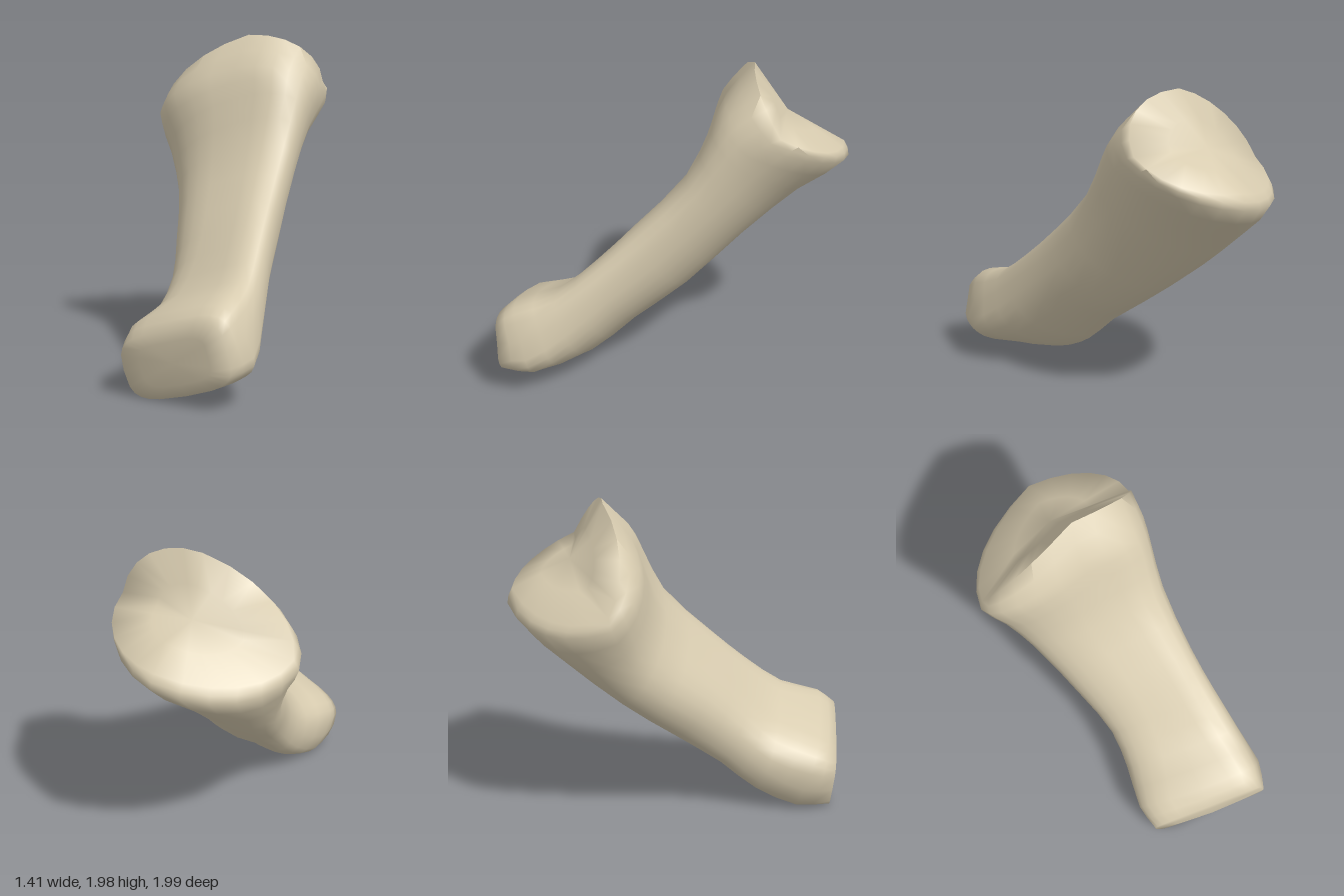
import * as THREE from 'three';
import { toCreasedNormals } from 'three/addons/utils/BufferGeometryUtils.js';

const SIDES = 24; // points around the bone
const STEPS = 2;  // subdivisions between sections

// Cross-sections from the wide base to the head: right, top, left, bottom extremes
// and a roundness power (1 = oval, 0.5 = boxy)
const SECTIONS = [
  { r: [0.31, 1.69, -0.66], t: [-0.1, 1.98, -0.44], l: [-0.68, 1.48, -0.36], b: [-0.2, 1.49, -0.97], p: 0.97 },
  { r: [0.335, 1.64, -0.55], t: [-0.1, 1.78, -0.28], l: [-0.7, 1.41, -0.34], b: [-0.2, 1.4, -1.0], p: 0.94 },
  { r: [0.34, 1.5, -0.42], t: [-0.05, 1.6, -0.21], l: [-0.58, 1.22, -0.28], b: [-0.2, 1.17, -0.73], p: 0.9 },
  { r: [0.365, 1.25, -0.22], t: [0.0, 1.29, -0.08], l: [-0.45, 0.98, -0.18], b: [-0.08, 0.87, -0.39], p: 0.88 },
  { r: [0.445, 0.93, 0.1], t: [0.13, 0.99, 0.2], l: [-0.255, 0.7, 0.12], b: [0.08, 0.58, -0.08], p: 0.85 },
  { r: [0.53, 0.73, 0.34], t: [0.2, 0.77, 0.41], l: [-0.13, 0.48, 0.34], b: [0.2, 0.36, 0.22], p: 0.8 },
  { r: [0.62, 0.53, 0.58], t: [0.25, 0.59, 0.62], l: [-0.095, 0.29, 0.54], b: [0.31, 0.16, 0.47], p: 0.7 },
  { r: [0.68, 0.4, 0.8], t: [0.27, 0.52, 0.88], l: [-0.09, 0.17, 0.77], b: [0.39, 0.08, 0.74], p: 0.52 },
  { r: [0.66, 0.36, 0.96], t: [0.29, 0.43, 0.98], l: [-0.04, 0.15, 0.95], b: [0.38, 0.065, 0.94], p: 0.52 },
];

// One closed ring through four extremes
function makeRing(r, t, l, b, p) {
  const c = new THREE.Vector3().add(r).add(t).add(l).add(b).multiplyScalar(0.25);
  return Array.from({ length: SIDES }, (_, j) => {
    const a = (j / SIDES) * Math.PI * 2;
    const u = Math.pow(Math.abs(Math.cos(a)), p);
    const v = Math.pow(Math.abs(Math.sin(a)), p);
    const side = Math.cos(a) >= 0 ? r : l;
    const rise = Math.sin(a) >= 0 ? t : b;
    return c.clone()
      .addScaledVector(side.clone().sub(c), u)
      .addScaledVector(rise.clone().sub(c), v);
  });
}

// Ring pulled towards a point; amount 1 closes the end
const shrink = (ring, point, amount) => ring.map((q) => q.clone().lerp(point, amount));

function boneGeometry() {
  const rails = ['r', 't', 'l', 'b'].map(
    (k) => new THREE.CatmullRomCurve3(SECTIONS.map((s) => new THREE.Vector3(...s[k]))));
  const rings = [];
  const spans = SECTIONS.length - 1;
  for (let i = 0; i <= spans * STEPS; i++) {
    const f = i / STEPS;
    const k = Math.min(Math.floor(f), spans - 1);
    const p = THREE.MathUtils.lerp(SECTIONS[k].p, SECTIONS[k + 1].p, f - k);
    rings.push(makeRing(...rails.map((rail) => rail.getPoint(f / spans)), p));
  }

  // Shallow joint hollow at the base, gently rounded end on the head
  const hollow = new THREE.Vector3(-0.18, 1.67, -0.63);
  const knuckle = new THREE.Vector3(0.32, 0.25, 0.985);
  const first = rings[0];
  const last = rings[rings.length - 1];
  rings.unshift(shrink(first, hollow, 1), shrink(first, hollow, 0.5));
  rings.push(shrink(last, knuckle, 0.35), shrink(last, knuckle, 1));

  const index = [];
  const end = rings.length - 2;
  for (let i = 0; i <= end; i++) {
    for (let j = 0; j < SIDES; j++) {
      const n = (j + 1) % SIDES;
      const a = i * SIDES + j, b = i * SIDES + n;
      const c = b + SIDES, d = a + SIDES;
      if (i > 0) index.push(a, b, d); // closed at the hollow
      if (i < end) index.push(b, c, d); // closed at the knuckle
    }
  }
  const geometry = new THREE.BufferGeometry().setFromPoints(rings.flat());
  geometry.setIndex(index);
  return toCreasedNormals(geometry, 1.6);
}

export function createModel() {
  const ivory = new THREE.MeshStandardMaterial({ color: 0xd8ccb0 });
  ivory.name = 'ivory';
  const bone = new THREE.Mesh(boneGeometry(), ivory);
  bone.name = 'fingerBone';
  const model = new THREE.Group();
  model.name = 'bone';
  model.add(bone);
  return model;
}
